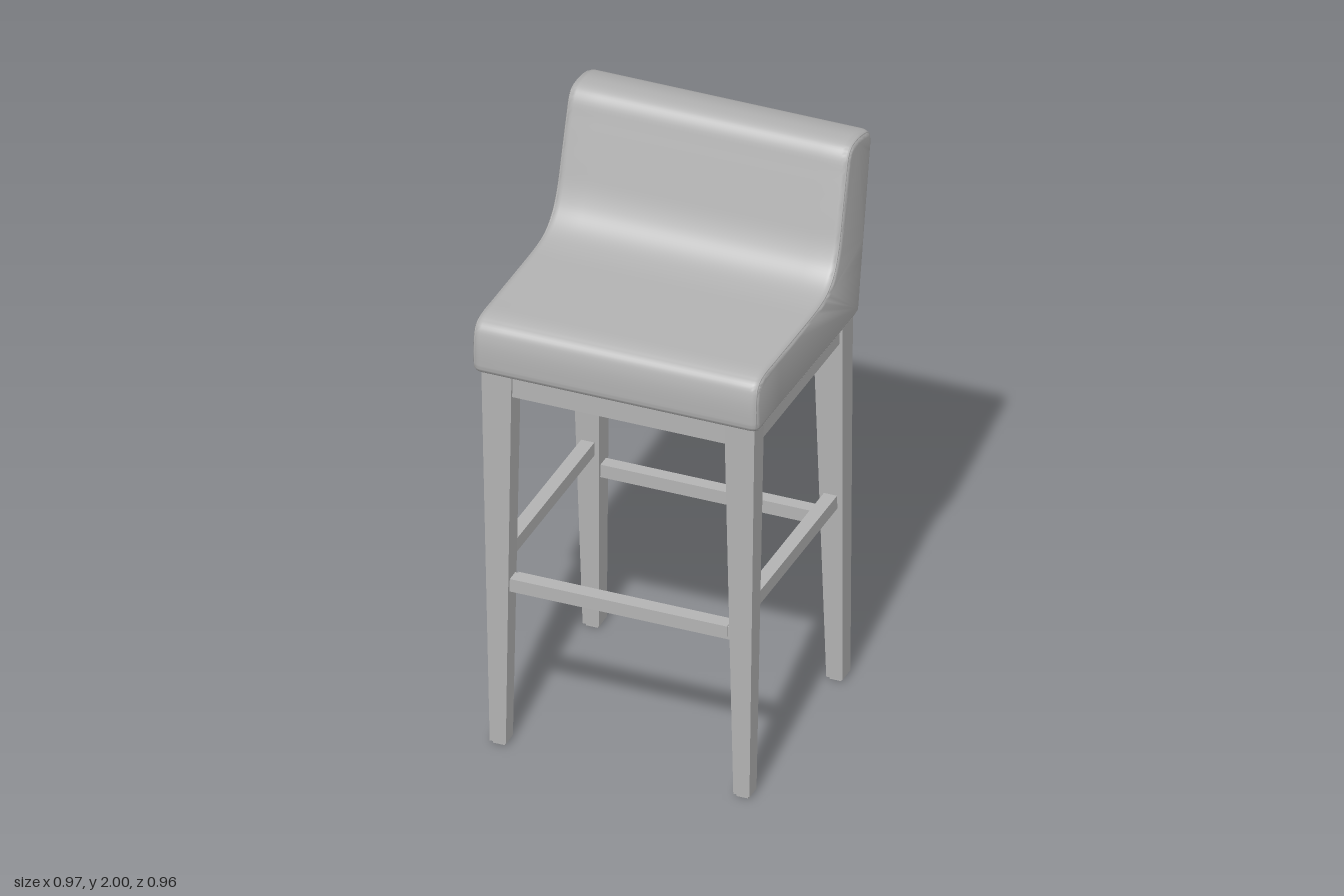
import * as THREE from 'three';
import { toCreasedNormals } from 'three/addons/utils/BufferGeometryUtils.js';

const grey = new THREE.MeshStandardMaterial({ color: 0xb4b4b4 });
grey.name = 'warm grey';

// Closed side outline of the cushion, as [z, y]
const outline = [
  [0.455, 1.38], [0.475, 1.395], [0.48, 1.43], [0.478, 1.51], [0.465, 1.55], [0.43, 1.569],
  [0.3, 1.57], [0.1, 1.566], [-0.04, 1.566], [-0.11, 1.579], [-0.16, 1.615], [-0.195, 1.675],
  [-0.23, 1.79], [-0.265, 1.91], [-0.285, 1.97], [-0.31, 1.995], [-0.36, 2.0], [-0.42, 1.99],
  [-0.462, 1.972], [-0.476, 1.94], [-0.465, 1.88], [-0.42, 1.67], [-0.385, 1.5], [-0.366, 1.39],
  [-0.358, 1.368], [-0.335, 1.36], [-0.2, 1.362], [0.1, 1.37], [0.35, 1.378],
];

function add(group, name, geometry) {
  const mesh = new THREE.Mesh(geometry, grey);
  mesh.name = name;
  group.add(mesh);
  return mesh;
}

// Box whose bottom and top rectangles [x0, x1, z0, z1] may differ
function taperedBox(y0, bottom, y1, top) {
  const g = new THREE.BoxGeometry(1, 1, 1);
  const p = g.attributes.position;
  for (let i = 0; i < p.count; i++) {
    const up = p.getY(i) > 0;
    const r = up ? top : bottom;
    p.setXYZ(i, p.getX(i) > 0 ? r[1] : r[0], up ? y1 : y0, p.getZ(i) > 0 ? r[3] : r[2]);
  }
  g.computeVertexNormals();
  return g;
}

function box(group, name, size, position, tilt = 0) {
  const mesh = add(group, name, new THREE.BoxGeometry(...size));
  mesh.position.set(...position);
  mesh.rotation.x = tilt;
}

export function createModel() {
  const stool = new THREE.Group();
  stool.name = 'barStool';

  // Upholstered seat and low back in one piece with soft side edges
  const curve = new THREE.CatmullRomCurve3(
    outline.map(([z, y]) => new THREE.Vector3(z, y, 0)), true, 'centripetal');
  const points = curve.getPoints(140).slice(0, -1);
  const shape = new THREE.Shape(points.map((p) => new THREE.Vector2(p.x, p.y)));
  const body = new THREE.ExtrudeGeometry(shape, {
    depth: 0.91, steps: 12, bevelEnabled: true, bevelSegments: 5,
    bevelSize: 0.022, bevelThickness: 0.027, bevelOffset: -0.022,
  });
  body.translate(0, 0, -0.455).rotateY(-Math.PI / 2);
  const p = body.attributes.position;
  for (let i = 0; i < p.count; i++) {
    // The back narrows slightly towards its top
    const k = THREE.MathUtils.clamp((p.getY(i) - 1.55) / 0.45, 0, 1);
    p.setX(i, p.getX(i) * (1.008 - 0.012 * k));
  }
  add(stool, 'cushion', toCreasedNormals(body, 0.7));

  // Stitched seams along both side edges
  for (const side of [-1, 1]) {
    const seam = points.filter((_, i) => i % 2 === 0).map((q, i, all) => {
      const a = all[(i + all.length - 1) % all.length];
      const b = all[(i + 1) % all.length];
      const n = new THREE.Vector2(b.y - a.y, a.x - b.x).normalize();
      const k = THREE.MathUtils.clamp((q.y - 1.55) / 0.45, 0, 1);
      return new THREE.Vector3(
        side * 0.474 * (1.008 - 0.012 * k), q.y - n.y * 0.009, q.x - n.x * 0.009);
    });
    add(stool, side > 0 ? 'leftSeam' : 'rightSeam', new THREE.TubeGeometry(
      new THREE.CatmullRomCurve3(seam, true), 140, 0.004, 6, true));
  }

  // Tapered legs with small floor glides
  for (const s of [-1, 1]) {
    const rect = (x0, x1, z0, z1) => (s > 0 ? [x0, x1, z0, z1] : [-x1, -x0, z0, z1]);
    const label = s > 0 ? 'Left' : 'Right';
    add(stool, 'front' + label + 'Leg', taperedBox(
      0.012, rect(0.387, 0.442, 0.378, 0.436), 1.39, rect(0.362, 0.465, 0.372, 0.45)));
    add(stool, 'back' + label + 'Leg', taperedBox(
      0.012, rect(0.387, 0.442, -0.388, -0.322), 1.39, rect(0.362, 0.465, -0.354, -0.268)));
    box(stool, 'frontGlide', [0.04, 0.014, 0.04], [s * 0.414, 0.007, 0.407]);
    box(stool, 'backGlide', [0.04, 0.014, 0.045], [s * 0.414, 0.007, -0.355]);

    // Side apron and side stretcher
    box(stool, 'sideApron', [0.07, 0.095, 0.68], [s * 0.418, 1.337, 0.05], -0.015);
    box(stool, 'sideStretcher', [0.045, 0.048, 0.7], [s * 0.413, 0.686, 0.04], -0.01);
  }

  // Front and back aprons and the panel between them
  box(stool, 'frontApron', [0.76, 0.085, 0.065], [0, 1.343, 0.408]);
  box(stool, 'backApron', [0.76, 0.09, 0.065], [0, 1.33, -0.312]);
  box(stool, 'underPanel', [0.78, 0.02, 0.68], [0, 1.355, 0.05]);

  // Back stretcher, and front footrest with a thin wrapped plate
  box(stool, 'backStretcher', [0.78, 0.046, 0.045], [0, 0.597, -0.332]);
  box(stool, 'footrest', [0.78, 0.046, 0.045], [0, 0.597, 0.408]);
  box(stool, 'footrestTopPlate', [0.73, 0.005, 0.05], [0, 0.6205, 0.409]);
  box(stool, 'footrestFrontPlate', [0.73, 0.038, 0.005], [0, 0.604, 0.4325]);

  return stool;
}
